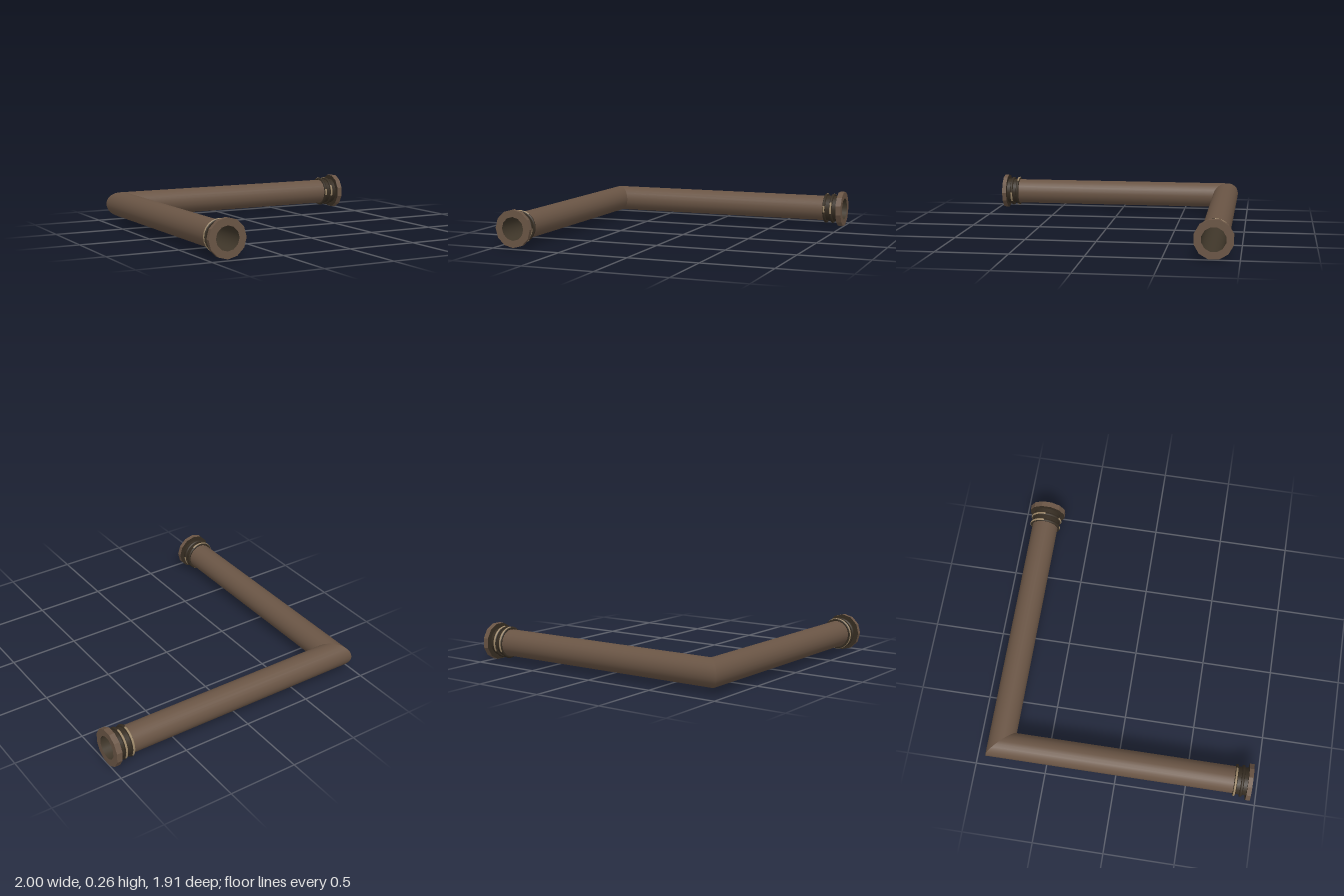
import * as THREE from 'three';

const PIPE_R = 0.095, BORE_R = 0.082, FLANGE_R = 0.132;

const pipeBrown = new THREE.MeshStandardMaterial({ color: 0x6a5545 });
const boreDark = new THREE.MeshStandardMaterial({ color: 0x40372a, side: THREE.DoubleSide });
const collarDark = new THREE.MeshStandardMaterial({ color: 0x362d22 });
const ringTan = new THREE.MeshStandardMaterial({ color: 0x9c8768 });

function part(name, geometry, material) {
  const mesh = new THREE.Mesh(geometry, material);
  mesh.name = name;
  return mesh;
}

// Open tube along +z, cut at 45 degrees where it meets the other arm
function mitredTube(radius, length, slope) {
  const g = new THREE.CylinderGeometry(radius, radius, length, 24, 1, true);
  g.rotateX(Math.PI / 2).translate(0, 0, length / 2);
  const p = g.attributes.position;
  for (let i = 0; i < p.count; i++) {
    if (p.getZ(i) < length / 2) p.setZ(i, slope * p.getX(i));
  }
  return g;
}

// Twelve-sided turned piece with hard edges, along +z
function facetedLathe(profile) {
  const points = profile.map(([r, y]) => new THREE.Vector2(r, y));
  const g = new THREE.LatheGeometry(points, 12).rotateX(Math.PI / 2).toNonIndexed();
  g.computeVertexNormals();
  return g;
}

// One arm of the elbow; k shortens the fittings, turn spins the flange,
// rings lists the offset from the end and the tan arcs (degrees) of each ring
function makeArm({ name, length, slope, k, turn, rings }) {
  const arm = new THREE.Group();
  arm.name = name;
  const depth = 0.04 * k;

  arm.add(part('pipeOuter', mitredTube(PIPE_R, length - depth, slope), pipeBrown));
  arm.add(part('pipeBore', mitredTube(BORE_R, length, slope), boreDark));

  // Flange with a dark back face
  const flange = new THREE.Group();
  flange.name = 'flange';
  flange.add(part('flangeRim', facetedLathe([[FLANGE_R, 0], [FLANGE_R, depth], [BORE_R, depth]]), pipeBrown));
  flange.add(part('flangeBack', facetedLathe([[BORE_R, 0], [FLANGE_R, 0]]), collarDark));
  flange.position.z = length - depth;
  flange.rotation.z = turn;
  arm.add(flange);

  // Dark neck between the first ring and the flange
  const neck = 0.1 * k;
  const collar = new THREE.CylinderGeometry(PIPE_R + 0.002, PIPE_R + 0.002, neck, 24, 1, true);
  collar.rotateX(Math.PI / 2).translate(0, 0, length - depth - neck / 2);
  arm.add(part('collar', collar, collarDark));

  // Dark rings with worn tan crests
  for (const { offset, arcs } of rings) {
    const ring = new THREE.Group();
    ring.name = 'clampRing';
    ring.position.z = length - offset * k;
    ring.add(part('ringBody', new THREE.TorusGeometry(0.102, 0.011, 8, 24), collarDark));
    for (const [from, to] of arcs) {
      const sweep = THREE.MathUtils.degToRad(to - from);
      const crest = part('ringCrest', new THREE.TorusGeometry(0.1055, 0.009, 8, 16, sweep), ringTan);
      crest.rotation.z = THREE.MathUtils.degToRad(from);
      ring.add(crest);
    }
    arm.add(ring);
  }
  return arm;
}

export function createModel() {
  const model = new THREE.Group();
  model.name = 'elbowPipe';

  const frontArm = makeArm({
    name: 'frontArm', length: 1.785, slope: 1, k: 0.8, turn: 0,
    rings: [
      { offset: 0.145, arcs: [[55, 305]] },
      { offset: 0.087, arcs: [[-40, 0]] },
    ],
  });
  const sideArm = makeArm({
    name: 'sideArm', length: 1.87, slope: -1, k: 1, turn: Math.PI / 12,
    rings: [
      { offset: 0.138, arcs: [[-30, 90], [165, 190]] },
      { offset: 0.085, arcs: [[-30, 90], [150, 195]] },
    ],
  });
  sideArm.rotation.y = Math.PI / 2;

  for (const arm of [frontArm, sideArm]) {
    arm.position.set(-0.87, FLANGE_R, -0.83);
    model.add(arm);
  }
  return model;
}
